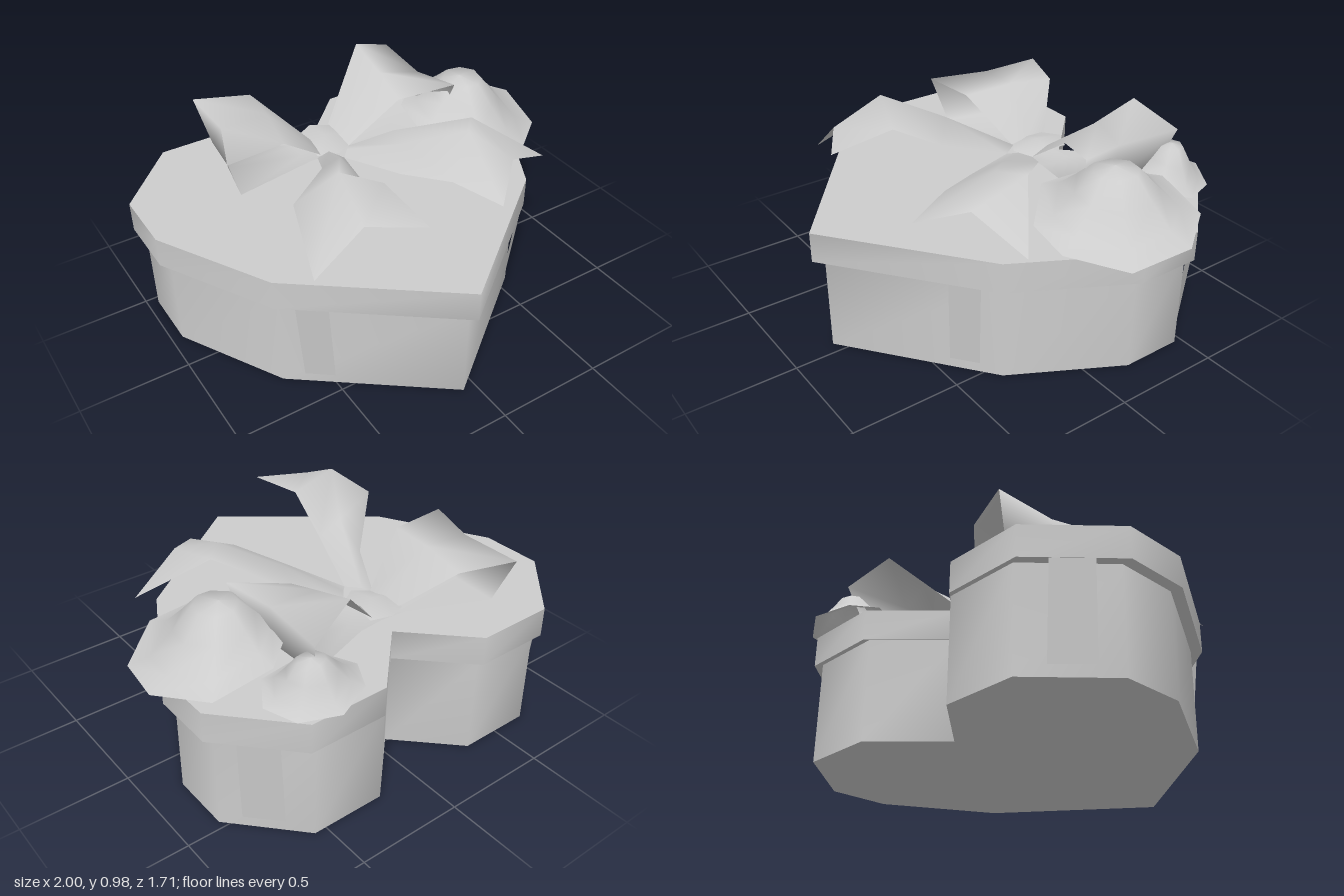
import * as THREE from 'three';

const grey = new THREE.MeshStandardMaterial({ color: 0xcccccc, side: THREE.DoubleSide });
grey.name = 'plain grey';

function add(group, name, geometry) {
  const mesh = new THREE.Mesh(geometry, grey);
  mesh.name = name;
  group.add(mesh);
}

// Smooth sheet through rows of [x, y, z] points; wrap joins last column to first
function sheet(rows, wrap = false) {
  const n = rows[0].length, index = [];
  for (let i = 0; i < rows.length - 1; i++) {
    for (let j = 0; j < (wrap ? n : n - 1); j++) {
      const k = (j + 1) % n;
      const a = i * n + j, b = a + n, c = i * n + k, d = c + n;
      index.push(a, b, c, c, b, d);
    }
  }
  const g = new THREE.BufferGeometry();
  g.setAttribute('position', new THREE.Float32BufferAttribute(rows.flat(2), 3));
  g.setIndex(index);
  g.computeVertexNormals();
  return g;
}

// Flat cap facing up (or down) at height y
function cap(outline, y, up) {
  const s = up ? -1 : 1;
  const shape = new THREE.Shape(outline.map(([x, z]) => new THREE.Vector2(x, s * z)));
  return new THREE.ShapeGeometry(shape).rotateX(s * Math.PI / 2).translate(0, y, 0);
}

function prism(name, outline, y0, y1) {
  const g = new THREE.Group();
  g.name = name;
  add(g, name + 'Wall', sheet([y0, y1].map(y => outline.map(([x, z]) => [x, y, z])), true));
  add(g, name + 'Top', cap(outline, y1, true));
  add(g, name + 'Bottom', cap(outline, y0, false));
  return g;
}

// Flower: rings shrink the rim toward a domed centre
function flower(centre, rim) {
  const rings = [[0.001, 0], [0.28, 0.06], [0.5, 0.45], [0.75, 0.85], [1, 1]];
  return sheet(rings.map(([f, drop]) => rim.map(([x, y, z]) => [
    centre[0] + (x - centre[0]) * f,
    centre[1] + (y - centre[1]) * drop,
    centre[2] + (z - centre[2]) * f,
  ])), true);
}

export function createModel() {
  const model = new THREE.Group();
  model.name = 'heartGiftBox';

  // Heart-shaped lid and slightly smaller box
  const half = [[0.28, -0.78], [0.65, -0.78], [0.94, -0.47], [0.94, -0.17], [0.66, 0.34]];
  const heart = [[0, -0.5], ...half, [0, 0.85], ...half.map(([x, z]) => [-x, z]).reverse()];
  const lid = heart.map(([x, z]) => [x - 0.06, z]);
  const body = heart.map(([x, z]) => [x * 0.947 - 0.06, z * 0.95 - 0.018]);
  model.add(prism('box', body, 0, 0.462));
  model.add(prism('lid', lid, 0.46, 0.6));

  // Ribbon strips slanting from the lid edge to the box side
  for (const s of [1, -1]) {
    const strips = [
      [[[0.59, 0.46, 0.394], [0.48, 0.46, 0.479]], [[0.55, 0.05, 0.372], [0.445, 0.05, 0.455]]],
      [[[0.73, 0.46, -0.69], [0.85, 0.46, -0.565]], [[0.70, 0.05, -0.672], [0.824, 0.05, -0.542]]],
    ];
    for (const rows of strips) {
      const placed = rows.map(r => r.map(([x, y, z]) => [s * x - 0.06, y, z]));
      add(model, 'sideRibbon', sheet(s > 0 ? placed.reverse() : placed));
    }
  }

  // Bow loops: bands running rear, middle, front
  add(model, 'leftLoop', sheet([
    [[-0.13, 0.68, -0.46], [-0.13, 0.69, -0.37], [-0.13, 0.66, -0.27]],
    [[-0.30, 0.86, -0.63], [-0.33, 0.88, -0.40], [-0.37, 0.86, -0.17]],
    [[-0.55, 0.87, -0.72], [-0.55, 0.87, -0.42], [-0.65, 0.86, -0.15]],
    [[-0.51, 0.66, -0.64], [-0.53, 0.65, -0.42], [-0.58, 0.65, -0.20]],
    [[-0.18, 0.63, -0.45], [-0.18, 0.62, -0.37], [-0.18, 0.63, -0.29]],
    [[-0.05, 0.63, -0.44], [-0.05, 0.62, -0.37], [-0.05, 0.63, -0.29]],
  ]));
  add(model, 'rightLoop', sheet([
    [[0.02, 0.68, -0.46], [0.01, 0.69, -0.37], [0.02, 0.66, -0.27]],
    [[0.29, 0.96, -0.63], [0.29, 0.90, -0.42], [0.28, 0.84, -0.24]],
    [[0.51, 0.87, -0.695], [0.48, 0.87, -0.37], [0.53, 0.89, -0.14]],
    [[0.46, 0.69, -0.63], [0.45, 0.67, -0.37], [0.47, 0.67, -0.19]],
    [[0.07, 0.63, -0.45], [0.07, 0.62, -0.37], [0.07, 0.63, -0.29]],
    [[-0.05, 0.63, -0.44], [-0.05, 0.62, -0.37], [-0.05, 0.63, -0.29]],
  ].map(r => r.reverse())));

  // Knot between the loops
  add(model, 'knot', sheet([
    [[-0.15, 0.67, -0.46], [-0.06, 0.68, -0.50], [0.03, 0.67, -0.46]],
    [[-0.14, 0.68, -0.36], [-0.06, 0.70, -0.36], [0.02, 0.68, -0.36]],
    [[-0.15, 0.66, -0.27], [-0.06, 0.67, -0.225], [0.02, 0.66, -0.27]],
  ]));

  // Ribbon tails fanning to the front
  add(model, 'leftTail', sheet([
    [[-0.15, 0.65, -0.27], [-0.10, 0.68, -0.25], [-0.06, 0.67, -0.18]],
    [[-0.24, 0.74, -0.07], [-0.22, 0.86, 0.05], [-0.155, 0.76, 0.12]],
    [[-0.54, 0.84, 0.22], [-0.37, 0.98, 0.30], [-0.19, 0.89, 0.35]],
    [[-0.62, 0.69, 0.515], [-0.40, 0.87, 0.53], [-0.18, 0.86, 0.66]],
  ]));
  add(model, 'rightTail', sheet([
    [[-0.06, 0.67, -0.18], [-0.02, 0.68, -0.22], [0.02, 0.66, -0.27]],
    [[0.06, 0.70, 0.11], [0.15, 0.77, 0.0], [0.20, 0.74, -0.16]],
    [[0.18, 0.74, 0.33], [0.36, 0.87, 0.20], [0.45, 0.86, 0.10]],
    [[0.28, 0.71, 0.555], [0.46, 0.79, 0.39], [0.72, 0.67, 0.305]],
  ]));

  // Two flowers on the right lobe
  add(model, 'largeFlower', flower([0.62, 0.88, -0.22], [
    [0.95, 0.60, -0.03], [1.0, 0.64, -0.30], [0.85, 0.66, -0.51], [0.59, 0.72, -0.54],
    [0.37, 0.73, -0.35], [0.32, 0.71, -0.08], [0.53, 0.67, 0.13], [0.74, 0.64, 0.15],
  ]));
  add(model, 'smallFlower', flower([0.51, 0.81, -0.67], [
    [0.62, 0.66, -0.50], [0.70, 0.63, -0.62], [0.65, 0.63, -0.77], [0.50, 0.65, -0.855],
    [0.34, 0.67, -0.79], [0.28, 0.68, -0.67], [0.34, 0.68, -0.54], [0.47, 0.67, -0.49],
  ]));

  return model;
}
